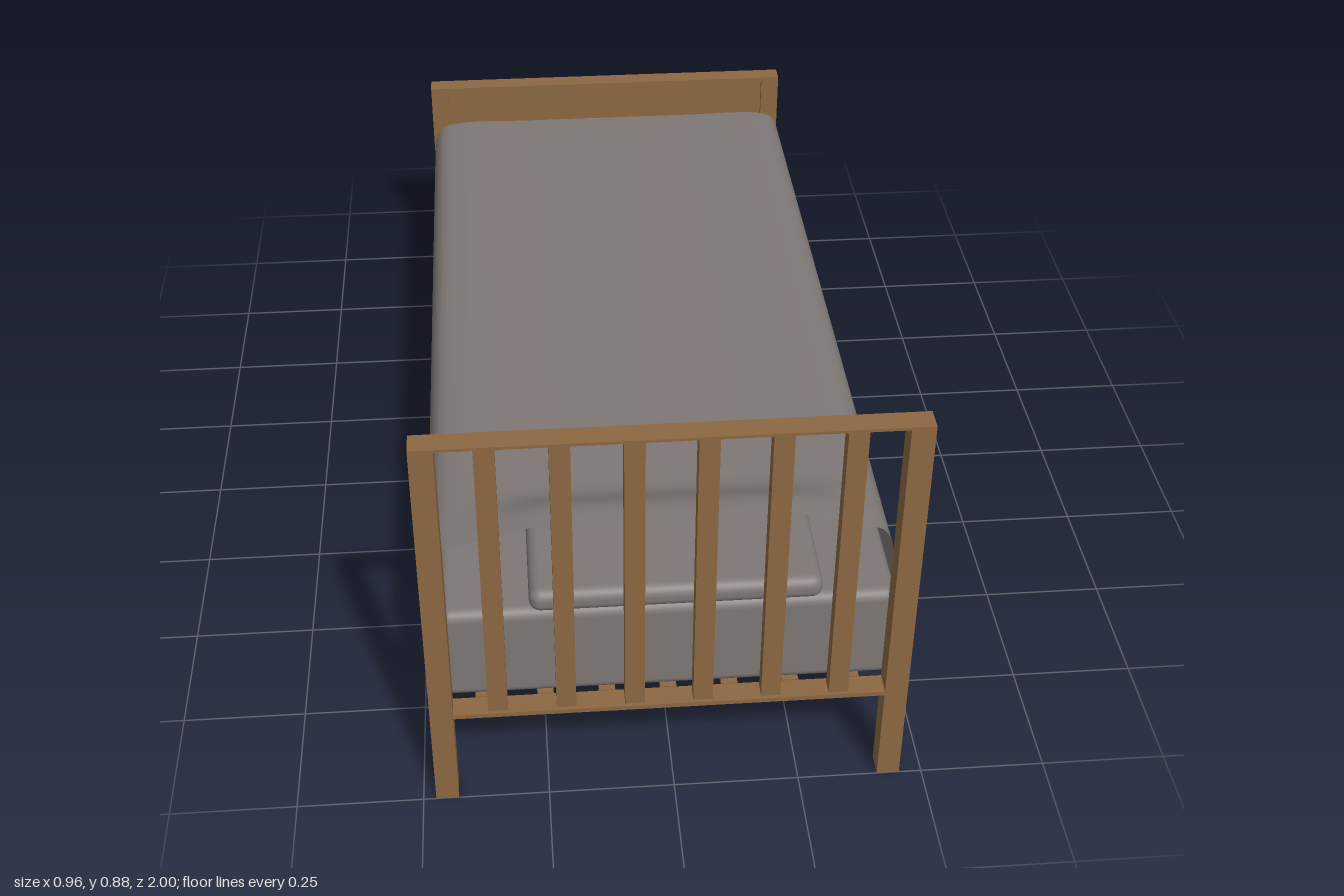
import * as THREE from 'three';
import { RoundedBoxGeometry } from 'three/addons/geometries/RoundedBoxGeometry.js';

const CX = -0.01; // centre line of the frame

export function createModel() {
  const wood = new THREE.MeshStandardMaterial({ color: 0x8c6842 });
  wood.name = 'wood';
  const fabric = new THREE.MeshStandardMaterial({ color: 0x7e7775, side: THREE.DoubleSide });
  fabric.name = 'greyFabric';

  const bed = new THREE.Group();
  bed.name = 'bed';

  const add = (parent, name, geometry, material) => {
    const mesh = new THREE.Mesh(geometry, material);
    mesh.name = name;
    parent.add(mesh);
    return mesh;
  };
  // Box given by its limits on each axis
  const box = (parent, name, [x0, x1], [y0, y1], [z0, z1]) => {
    const mesh = add(parent, name, new THREE.BoxGeometry(x1 - x0, y1 - y0, z1 - z0), wood);
    mesh.position.set((x0 + x1) / 2, (y0 + y1) / 2, (z0 + z1) / 2);
  };
  const part = (name) => {
    const group = new THREE.Group();
    group.name = name;
    bed.add(group);
    return group;
  };
  const posts = (parent, top, z) => {
    box(parent, 'rightPost', [CX - 0.465, CX - 0.42], [0, top], z);
    box(parent, 'leftPost', [CX + 0.42, CX + 0.465], [0, top], z);
  };

  // Headboard: posts, thin rails and six upright slats
  const head = part('headboard');
  const headZ = [0.955, 1];
  posts(head, 0.875, headZ);
  box(head, 'topRail', [CX - 0.465, CX + 0.465], [0.875, 0.881], headZ);
  box(head, 'bottomRail', [CX - 0.42, CX + 0.42], [0.22, 0.23], headZ);
  for (let i = 0; i < 6; i++) {
    const x = -0.343 + i * 0.1324;
    box(head, 'uprightSlat', [x - 0.019, x + 0.019], [0.23, 0.875], [0.962, 0.993]);
  }

  // Footboard: posts, solid inset panel and thin cap
  const foot = part('footboard');
  const footZ = [-1, -0.955];
  posts(foot, 0.548, footZ);
  box(foot, 'topRail', [CX - 0.465, CX + 0.465], [0.548, 0.555], footZ);
  box(foot, 'panel', [CX - 0.42, CX + 0.42], [0.112, 0.548], [-0.988, -0.967]);

  // Side rails and bed base
  const base = part('bedBase');
  for (const s of [-1, 1]) {
    const x = CX + s * 0.45;
    box(base, 'sideRail', [x - 0.009, x + 0.009], [0.2, 0.31], [-0.955, 0.955]);
  }
  for (let i = 0; i < 7; i++) {
    const x = CX - 0.36 + i * 0.12;
    box(base, 'longSlat', [x - 0.016, x + 0.016], [0.217, 0.232], [-0.967, 0.955]);
  }
  box(base, 'crossBeam', [CX - 0.441, CX + 0.441], [0.205, 0.217], [-0.03, 0.01]);
  box(base, 'footCrossRail', [CX - 0.42, CX + 0.42], [0.22, 0.23], [-0.967, -0.945]);

  // Mattress and pillow
  const mattress = add(bed, 'mattress', new RoundedBoxGeometry(0.875, 0.215, 1.905, 4, 0.022), fabric);
  mattress.position.set(CX, 0.3395, 0.0025);
  const pillow = add(bed, 'pillow', new RoundedBoxGeometry(0.56, 0.05, 0.264, 4, 0.022), fabric);
  pillow.position.set(0.005, 0.462, 0.822);

  // Cover draped from side to side, lifted where it lies over the pillow
  const drape = (name, section, z0, z1, lift) => {
    const curve = new THREE.CatmullRomCurve3(
      section.map(([x, y]) => new THREE.Vector3(x, y, 0)), false, 'centripetal');
    const points = curve.getSpacedPoints(90);
    const rows = 80, n = points.length;
    const pos = [], index = [];
    for (let r = 0; r <= rows; r++) {
      const z = z0 + (z1 - z0) * r / rows;
      const alongZ = THREE.MathUtils.smoothstep(z, 0.61, 0.73);
      points.forEach((p, i) => {
        const alongX = 1 - THREE.MathUtils.smoothstep(Math.abs(p.x), 0.22, 0.43);
        pos.push(p.x, p.y + lift * alongZ * alongX, z);
        if (r < rows && i < n - 1) {
          const a = r * n + i, b = a + n;
          index.push(a, b, a + 1, b, b + 1, a + 1);
        }
      });
    }
    const geometry = new THREE.BufferGeometry();
    geometry.setAttribute('position', new THREE.Float32BufferAttribute(pos, 3));
    geometry.setIndex(index);
    geometry.computeVertexNormals();
    add(bed, name, geometry, fabric);
  };

  drape('blanket', [
    [-0.483, 0.16], [-0.479, 0.24], [-0.475, 0.33], [-0.469, 0.41], [-0.45, 0.445], [-0.41, 0.457],
    [-0.2, 0.458], [0.2, 0.458],
    [0.395, 0.457], [0.435, 0.445], [0.454, 0.41], [0.465, 0.33], [0.474, 0.24], [0.48, 0.16],
  ], -0.942, 0.77, 0.042);

  drape('sheet', [
    [-0.472, 0.08], [-0.472, 0.2], [-0.471, 0.33], [-0.463, 0.41], [-0.445, 0.438], [-0.405, 0.451],
    [-0.2, 0.452], [0.2, 0.452],
    [0.39, 0.451], [0.428, 0.438], [0.446, 0.41], [0.453, 0.33], [0.454, 0.2], [0.454, 0.08],
  ], -0.895, 0.705, 0.036);

  return bed;
}
